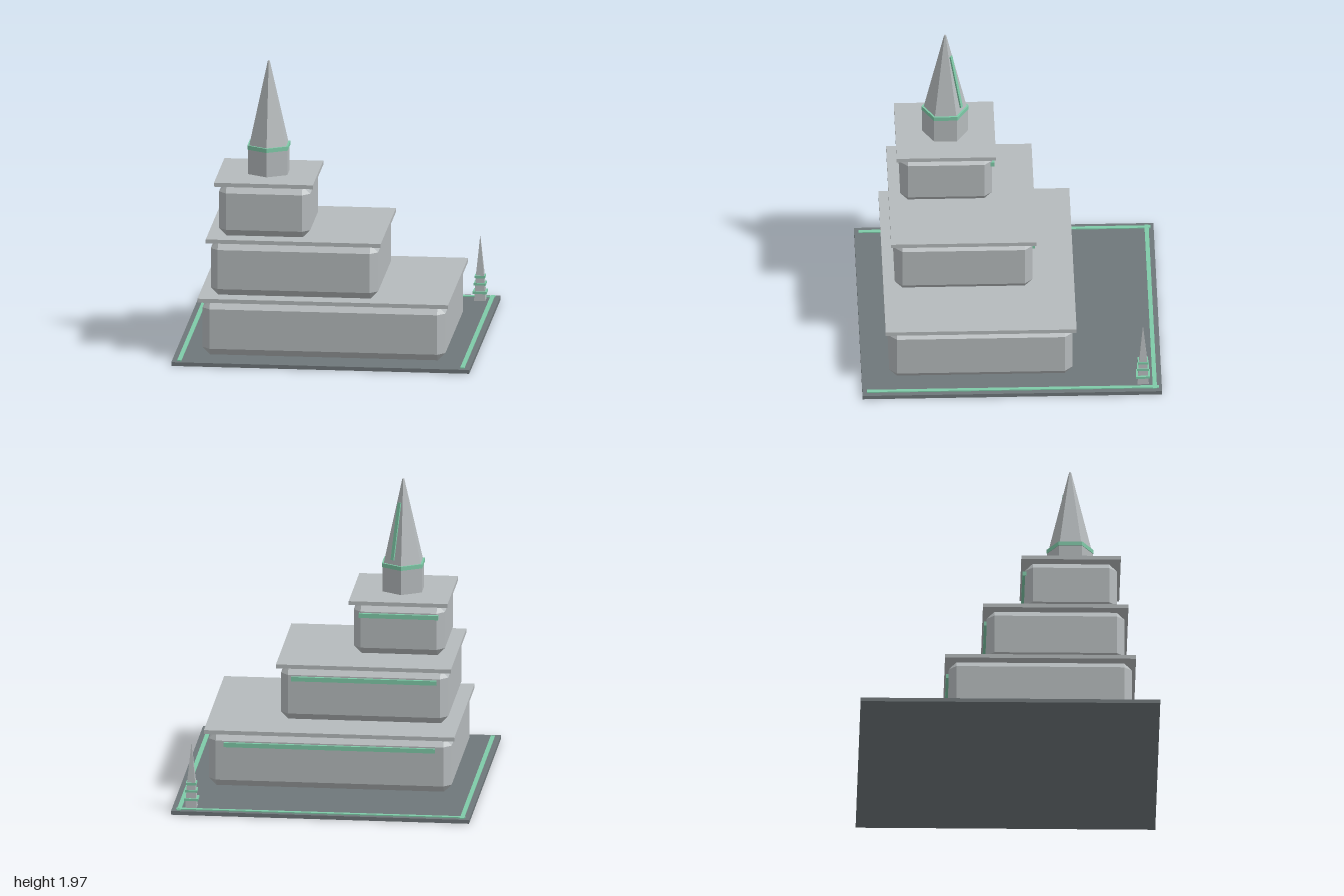
import * as THREE from 'three';
import { ConvexGeometry } from 'three/addons/geometries/ConvexGeometry.js';

const material = (name, color) => {
  const m = new THREE.MeshStandardMaterial({ color, flatShading: true });
  m.name = name;
  return m;
};

// Box with every edge and corner cut at 45 degrees
function chamferedBox(w, h, d, c) {
  const points = [];
  for (const sx of [-1, 1]) for (const sy of [-1, 1]) for (const sz of [-1, 1]) {
    const x = w / 2, y = h / 2, z = d / 2;
    points.push(
      new THREE.Vector3(sx * x, sy * (y - c), sz * (z - c)),
      new THREE.Vector3(sx * (x - c), sy * y, sz * (z - c)),
      new THREE.Vector3(sx * (x - c), sy * (y - c), sz * z));
  }
  return new ConvexGeometry(points);
}

export function createModel() {
  const model = new THREE.Group();
  model.name = 'terracedTower';
  const stone = material('paleStone', 0xb5babc);
  const ground = material('darkStone', 0x6f777a);
  const trim = material('greenTrim', 0x7fcaa8);

  const add = (parent, name, geometry, mat, x, y, z) => {
    const mesh = new THREE.Mesh(geometry, mat);
    mesh.name = name;
    mesh.position.set(x, y, z);
    parent.add(mesh);
    return mesh;
  };
  const box = (parent, name, mat, x0, x1, y0, y1, z0, z1) =>
    add(parent, name, new THREE.BoxGeometry(x1 - x0, y1 - y0, z1 - z0), mat,
      (x0 + x1) / 2, (y0 + y1) / 2, (z0 + z1) / 2);

  // Ground plate with inlaid strips on three sides
  box(model, 'basePlate', ground, -1, 1, 0, 0.026, -1, 1);
  for (const s of [-1, 1])
    box(model, 'sideGroundStrip', trim, s * 0.95 - 0.014, s * 0.95 + 0.014, 0.026, 0.033, -0.98, 0.97);
  box(model, 'backGroundStrip', trim, -0.97, 0.97, 0.026, 0.0335, -0.967, -0.939);

  // Three stepped tiers: chamfered block, overhanging roof, strip on the back wall
  const tiers = [
    { x: [-0.815, 0.815], z: [-0.408, 0.815], y: [0.026, 0.4] },
    { x: [-0.765, 0.358], z: [-0.154, 0.765], y: [0.426, 0.797] },
    { x: [-0.715, -0.103], z: [0.103, 0.715], y: [0.823, 1.176] },
  ];
  for (const { x: [x0, x1], y: [y0, y1], z: [z0, z1] } of tiers) {
    const tier = new THREE.Group();
    tier.name = 'tier';
    model.add(tier);
    const cx = (x0 + x1) / 2, half = (x1 - x0) * 0.435;
    add(tier, 'tierBlock', chamferedBox(x1 - x0, y1 - y0, z1 - z0, 0.051), stone,
      cx, (y0 + y1) / 2, (z0 + z1) / 2);
    const o = 0.026;
    box(tier, 'tierRoof', stone, x0 - o, x1 + o, y1, y1 + 0.027, z0 - o, z1 + o);
    box(tier, 'backWallStrip', trim, cx - half, cx + half, y1 - 0.09, y1 - 0.06, z0 - 0.018, z0 + 0.01);
  }

  // Six-sided tower with a collar and a tall spire
  const tower = new THREE.Group();
  tower.name = 'tower';
  tower.position.set(-0.408, 0, 0.408);
  model.add(tower);
  add(tower, 'towerDrum', new THREE.CylinderGeometry(0.153, 0.153, 0.18, 6), stone, 0, 1.293, 0);
  add(tower, 'towerCollar', new THREE.CylinderGeometry(0.157, 0.157, 0.028, 6), trim, 0, 1.386, 0);
  add(tower, 'spire', new THREE.CylinderGeometry(0.007, 0.143, 0.57, 6), stone, 0, 1.685, 0);

  // Narrow strip lying on the back spire face
  const stripPivot = new THREE.Group();
  stripPivot.name = 'spireStripMount';
  stripPivot.rotation.y = Math.PI * 5 / 6;
  tower.add(stripPivot);
  const strip = add(stripPivot, 'spireStrip', new THREE.BoxGeometry(0.024, 0.39, 0.024), trim, 0, 1.62, 0.077);
  strip.rotation.x = -Math.atan(0.118 / 0.57);

  // Small square obelisk in the back corner
  const obelisk = new THREE.Group();
  obelisk.name = 'obelisk';
  obelisk.position.set(0.876, 0, -0.876);
  model.add(obelisk);
  const square = (name, mat, top, bottom, y0, y1) => {
    const g = new THREE.CylinderGeometry(top * Math.SQRT2, bottom * Math.SQRT2, y1 - y0, 4);
    g.rotateY(Math.PI / 4);
    add(obelisk, name, g, mat, 0, (y0 + y1) / 2, 0);
  };
  square('obeliskShaft', stone, 0.028, 0.038, 0.026, 0.19);
  square('obeliskPoint', stone, 0.001, 0.028, 0.19, 0.465);
  [[0.084, 0.047], [0.141, 0.04], [0.19, 0.035]].forEach(([y, r]) =>
    square('obeliskBand', trim, r, r, y - 0.008, y + 0.008));

  return model;
}
